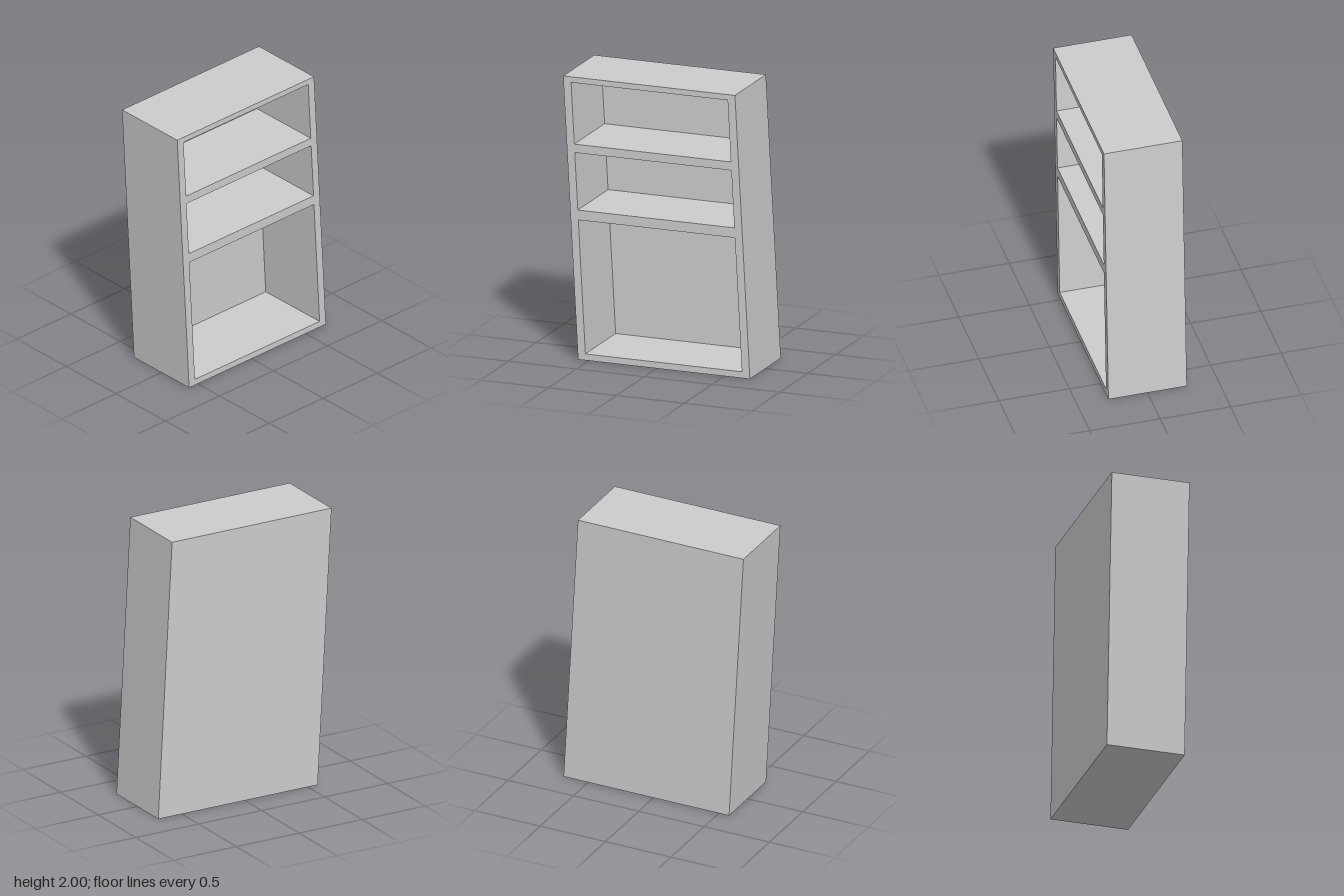
import * as THREE from 'three';

const HALF_DEPTH = 0.278; // half size along x
const HALF_WIDTH = 0.633; // half size along z
const INNER = 0.577; // half width of the bays
const BACK = 0.013; // back panel thickness
const LEAN = 0.055; // z shift per unit of height

// Leaning four-sided outline; shape x is model -z after turning
function outline(PathType, half, y0, y1) {
  const p = (side, y) => new THREE.Vector2(side * half - LEAN * (y - 1), y);
  return new PathType([p(-1, y0), p(1, y0), p(1, y1), p(-1, y1)]);
}

// Extrudes an outline along x between two planes
function slab(name, shape, x0, x1, material) {
  const geometry = new THREE.ExtrudeGeometry(shape, { depth: x1 - x0, bevelEnabled: false });
  geometry.rotateY(Math.PI / 2);
  geometry.translate(x0, 0, 0);
  const mesh = new THREE.Mesh(geometry, material);
  mesh.name = name;
  return mesh;
}

export function createModel() {
  const group = new THREE.Group();
  group.name = 'leaningBookcase';
  const material = new THREE.MeshStandardMaterial({ color: 0xcccccc, flatShading: true });

  // Frame and shelves, pierced by three bays open toward +x
  const frame = outline(THREE.Shape, HALF_WIDTH, 0, 2);
  for (const [y0, y1] of [[0.045, 0.99], [1.06, 1.465], [1.525, 1.96]]) {
    frame.holes.push(outline(THREE.Path, INNER, y0, y1));
  }
  group.add(slab('frameAndShelves', frame, -HALF_DEPTH + BACK, HALF_DEPTH, material));

  // Closed back panel
  const back = outline(THREE.Shape, HALF_WIDTH, 0, 2);
  group.add(slab('backPanel', back, -HALF_DEPTH, -HALF_DEPTH + BACK, material));

  return group;
}
